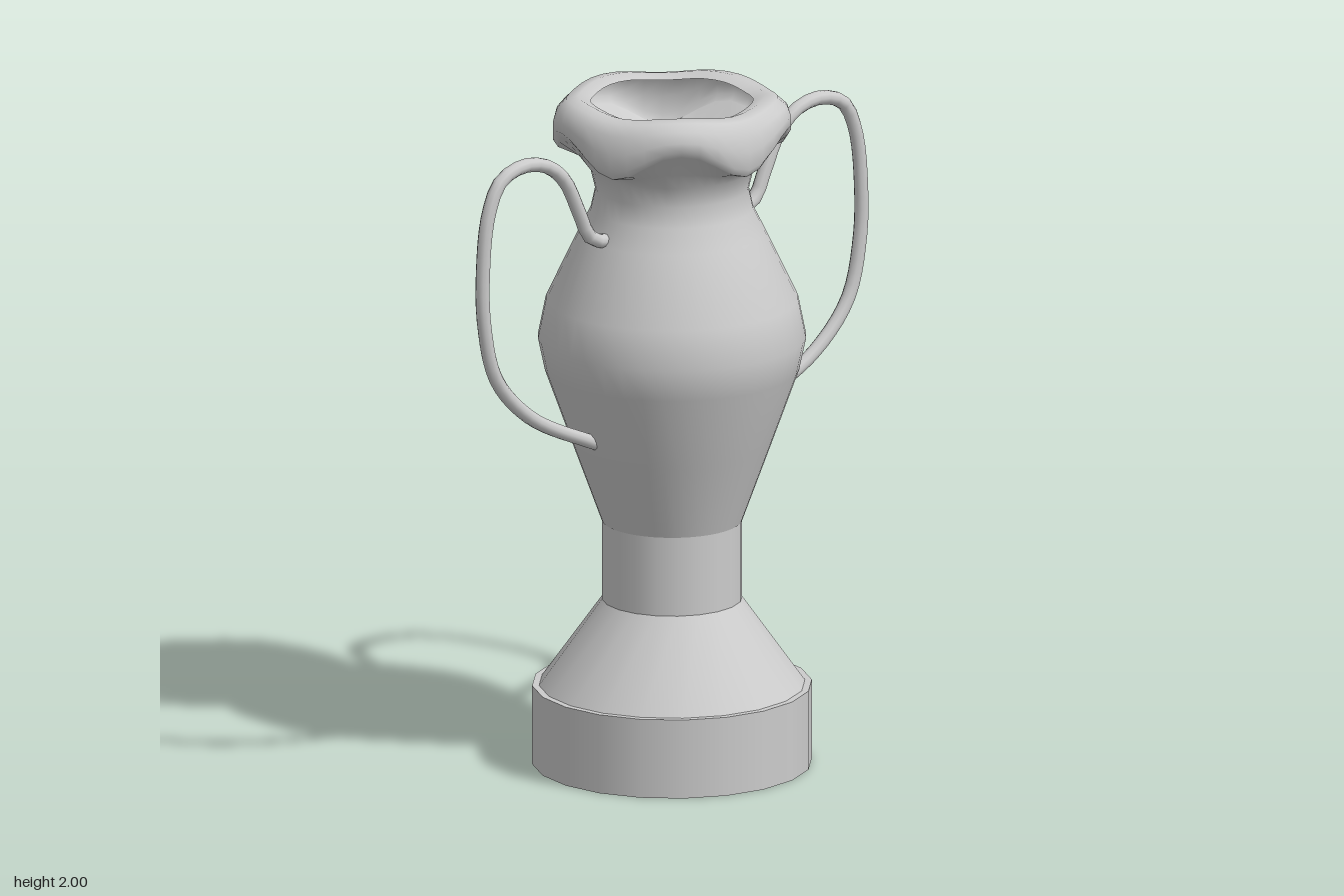
import * as THREE from 'three';
import { mergeVertices } from 'three/addons/utils/BufferGeometryUtils.js';

const SIDES = 20;
const material = new THREE.MeshStandardMaterial({ color: 0xcccccc });
const thinMaterial = new THREE.MeshStandardMaterial({ color: 0xcccccc, side: THREE.DoubleSide });

function add(parent, name, geometry, mat = material) {
  const mesh = new THREE.Mesh(geometry, mat);
  mesh.name = name;
  parent.add(mesh);
  return mesh;
}

// Closed drum or cone standing between two heights
function drum(parent, name, rBottom, rTop, y0, y1) {
  const mesh = add(parent, name, new THREE.CylinderGeometry(rTop, rBottom, y1 - y0, SIDES));
  mesh.position.y = (y0 + y1) / 2;
}

// Turned shell; each profile point is [radius, height, depth of the five-lobed dip]
function wavyLathe(profile, segments) {
  const geometry = new THREE.LatheGeometry(profile.map(([r, y]) => new THREE.Vector2(r, y)), segments);
  const pos = geometry.attributes.position;
  for (let i = 0; i < pos.count; i++) {
    const angle = Math.atan2(pos.getX(i), pos.getZ(i));
    const wave = Math.pow(0.5 + 0.5 * Math.cos(5 * angle), 1.2);
    pos.setY(i, pos.getY(i) - profile[i % profile.length][2] * wave);
  }
  geometry.deleteAttribute('normal');
  geometry.deleteAttribute('uv');
  const welded = mergeVertices(geometry, 1e-4);
  welded.computeVertexNormals();
  return welded;
}

export function createModel() {
  const group = new THREE.Group();

  // Foot and stem
  drum(group, 'base', 0.405, 0.405, 0, 0.235);
  drum(group, 'foot', 0.385, 0.203, 0.235, 0.49);
  drum(group, 'stem', 0.203, 0.203, 0.49, 0.73);

  // Hollow body, flaring into the underside of the lip
  add(group, 'body', wavyLathe([
    [0.203, 0.725, 0], [0.285, 0.95, 0], [0.368, 1.18, 0], [0.388, 1.275, 0], [0.365, 1.39, 0],
    [0.27, 1.59, 0], [0.235, 1.66, 0], [0.222, 1.72, 0], [0.236, 1.78, 0], [0.27, 1.83, 0.02],
    [0.33, 1.9, 0.08],
  ], 40), thinMaterial);

  // Scalloped lip rolled over to the mouth
  add(group, 'lip', wavyLathe([
    [0.33, 1.9, 0.08], [0.345, 1.918, 0.075], [0.345, 1.945, 0.05], [0.333, 1.975, 0.025],
    [0.305, 1.995, 0.015], [0.27, 2, 0.012], [0.235, 1.985, 0.01],
  ], 40), thinMaterial);

  // Pair of looped handles whose ends run into the body
  const path = [
    [0.13, 1.605], [0.27, 1.607], [0.315, 1.63], [0.355, 1.71], [0.41, 1.815], [0.48, 1.87],
    [0.571, 1.885], [0.655, 1.852], [0.7, 1.76], [0.72, 1.6], [0.716, 1.44], [0.67, 1.265],
    [0.54, 1.127], [0.32, 1.018], [0.24, 0.985],
  ];
  for (const side of [1, -1]) {
    const curve = new THREE.CatmullRomCurve3(path.map(([x, y]) => new THREE.Vector3(side * x, y, 0)));
    add(group, side > 0 ? 'leftHandle' : 'rightHandle',
      new THREE.TubeGeometry(curve, 48, 0.021, 10), thinMaterial);
  }
  return group;
}
